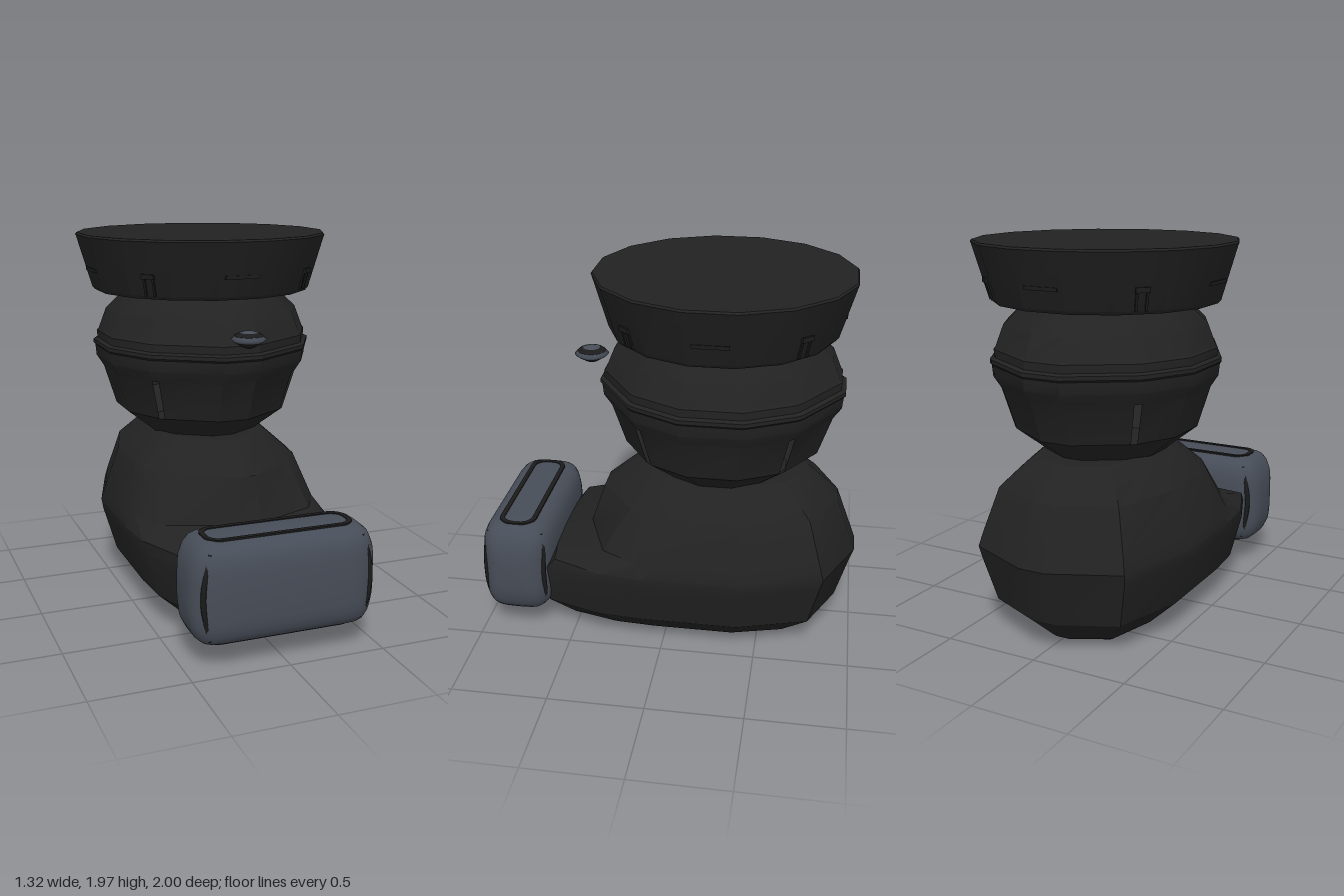
import * as THREE from 'three';
import { toCreasedNormals } from 'three/addons/utils/BufferGeometryUtils.js';

const CZ = -0.26; // z of the upright axis

// Skin closed rings of points, with optional end caps and skipped faces
function loft(rings, { caps = true, crease = 0.6, skip = () => false } = {}) {
  const pos = [];
  const n = rings[0].length;
  const tri = (a, b, c) => pos.push(...a, ...b, ...c);
  for (let r = 0; r < rings.length - 1; r++) {
    for (let i = 0; i < n; i++) {
      if (skip(r, i)) continue;
      const j = (i + 1) % n;
      const a = rings[r], b = rings[r + 1];
      tri(a[i], a[j], b[j]);
      tri(a[i], b[j], b[i]);
    }
  }
  if (caps) {
    const mid = (ring) => [0, 1, 2].map((k) => ring.reduce((s, p) => s + p[k], 0) / n);
    const lo = rings[0], hi = rings[rings.length - 1];
    for (let i = 0; i < n; i++) {
      const j = (i + 1) % n;
      tri(mid(lo), lo[j], lo[i]);
      tri(mid(hi), hi[i], hi[j]);
    }
  }
  const g = new THREE.BufferGeometry();
  g.setAttribute('position', new THREE.Float32BufferAttribute(pos, 3));
  return toCreasedNormals(g, crease);
}

// Mirror the +x half of a ring (listed front to back) onto -x
const mirrorRing = (half) => [...half, ...half.slice().reverse().map(([x, y, z]) => [-x, y, z])];

export function createModel() {
  const model = new THREE.Group();
  const mat = (name, color, side = THREE.FrontSide) => {
    const m = new THREE.MeshStandardMaterial({ color, side });
    m.name = name;
    return m;
  };
  const black = mat('black', 0x222222, THREE.DoubleSide);
  const trim = mat('trimBlack', 0x1b1b1b);
  const slate = mat('slateGrey', 0x474d58);
  const add = (name, geo, material, parent = model) => {
    const m = new THREE.Mesh(geo, material);
    m.name = name;
    parent.add(m);
    return m;
  };

  // Lower body: [y, half width, back z, front z, front corner fraction]
  const body = [
    [0, 0.29, -0.72, 0.57, 0.93],
    [0.01, 0.31, -0.735, 0.59, 0.93],
    [0.16, 0.47, -0.91, 0.7, 0.94],
    [0.4, 0.54, -0.98, 0.68, 0.95],
    [0.46, 0.55, -1.0, 0.63, 0.95],
    [0.53, 0.53, -0.975, 0.45, 0.82],
    [0.76, 0.45, -0.89, 0.37, 0.7],
    [0.9, 0.3, -0.73, 0.21, 0.68],
    [0.912, 0.28, -0.71, 0.19, 0.68],
  ].map(([y, w, zb, zf, f]) => {
    const front = (k) => CZ + (zf - CZ) * k;
    const back = (k) => CZ + (zb - CZ) * k;
    return mirrorRing([
      [0.15 * w, y, zf], [0.76 * w, y, front(f)], [0.96 * w, y, front(f * 0.68)],
      [w, y, front(f * 0.42)], [w, y, back(0.22)], [0.76 * w, y, back(0.79)], [0.13 * w, y, zb],
    ]);
  });
  add('lowerBody', loft(body, { crease: 0.5 }), black);

  // Bowl: hollow faceted shell, with a slit at each diagonal corner
  const bowlHalf = [
    [0.1, 0.635], [0.41, 0.438], [0.438, 0.41], [0.57, 0.16],
    [0.57, -0.16], [0.438, -0.41], [0.41, -0.438], [0.1, -0.635],
  ];
  const bowl = [
    [0.9, 0.52], [0.92, 0.56], [1.03, 0.8], [1.24, 0.91], [1.3, 0.975], [1.36, 0.985], [1.37, 1.0],
    [1.39, 1.0], [1.4, 0.965], [1.44, 0.965], [1.45, 0.95], [1.56, 0.88], [1.68, 0.67],
  ].map(([y, s]) => mirrorRing(bowlHalf.map(([x, z]) => [x * s, y, CZ + z * s])));
  add('bowl', loft(bowl, { caps: false, crease: 0.5, skip: (r, i) => r === 2 && i % 4 === 1 }), black);

  // Flared top: sixteen sides with flats facing the axes
  const top = [[1.668, 0.565], [1.685, 0.58], [1.955, 0.658], [1.962, 0.662], [1.972, 0.655]]
    .map(([y, apothem]) => {
      const R = apothem / Math.cos(Math.PI / 16);
      return Array.from({ length: 16 }, (_, i) => {
        const a = ((i + 0.5) * Math.PI) / 8;
        return [R * Math.cos(a), y, CZ - R * Math.sin(a)];
      });
    });
  add('flaredTop', loft(top, { crease: 0.45 }), black);

  // Ribs on the four sides of the top, clips at its four diagonals
  for (let i = 0; i < 4; i++) {
    const side = new THREE.Group();
    side.name = 'topFittings';
    side.position.z = CZ;
    side.rotation.y = (i * Math.PI) / 2;
    model.add(side);
    add('rib', new THREE.BoxGeometry(0.18, 0.018, 0.02), trim, side).position.set(0, 1.785, 0.607);
    const clip = new THREE.Group();
    clip.name = 'clip';
    clip.rotation.y = Math.PI / 4;
    side.add(clip);
    for (const s of [-1, 1]) {
      const leg = add('clipLeg', new THREE.BoxGeometry(0.012, 0.09, 0.015), trim, clip);
      leg.position.set(s * 0.025, 1.73, 0.594);
      leg.rotation.x = 0.26;
    }
    add('clipHead', new THREE.BoxGeometry(0.07, 0.025, 0.03), trim, clip).position.set(0, 1.785, 0.608);
  }

  // Front drum: soft rounded block, lofted along x
  const drum = new THREE.Group();
  drum.name = 'frontDrum';
  drum.position.set(0, 0.38, 0.805);
  model.add(drum);
  const soft = (v) => Math.sign(v) * Math.sqrt(Math.abs(v));
  const ends = [[0.3, 0.26, 0.195], [0.37, 0.26, 0.186], [0.41, 0.25, 0.172], [0.44, 0.225, 0.152],
    [0.465, 0.18, 0.125], [0.48, 0.11, 0.085]];
  const drumRings = [...ends.slice().reverse().map(([x, h, d]) => [-x, h, d]), ...ends]
    .map(([x, h, d]) => Array.from({ length: 32 }, (_, i) => {
      const a = (i * Math.PI) / 16;
      return [x, h * soft(Math.cos(a)), d * soft(Math.sin(a))];
    }));
  add('drumShell', loft(drumRings, { crease: 0.9 }), slate, drum);

  // Dark bands along the drum's upright corners
  for (const sx of [-1, 1]) for (const sz of [-1, 1]) {
    const path = new THREE.CatmullRomCurve3([
      [0.39, 0.215, 0.137], [0.415, 0.13, 0.155], [0.432, 0, 0.158], [0.415, -0.13, 0.155], [0.39, -0.215, 0.137],
    ].map(([x, y, z]) => new THREE.Vector3(sx * x, y, sz * z)));
    add('cornerBand', new THREE.TubeGeometry(path, 16, 0.014, 6), trim, drum);
  }

  // Dark rounded outline on the drum's top and underside
  const roundRect = (Path, w, d, r) => {
    const p = new Path();
    p.absarc(w - r, d - r, r, 0, Math.PI / 2);
    p.absarc(r - w, d - r, r, Math.PI / 2, Math.PI);
    p.absarc(r - w, r - d, r, Math.PI, Math.PI * 1.5);
    p.absarc(w - r, r - d, r, Math.PI * 1.5, Math.PI * 2);
    p.closePath();
    return p;
  };
  const outline = roundRect(THREE.Shape, 0.385, 0.1, 0.075);
  outline.holes.push(roundRect(THREE.Path, 0.36, 0.075, 0.055));
  const outlineGeo = new THREE.ExtrudeGeometry(outline, { depth: 0.009, bevelEnabled: false, curveSegments: 6 });
  for (const s of [-1, 1]) {
    const m = add('drumOutline', outlineGeo, trim, drum);
    m.rotation.x = (-s * Math.PI) / 2;
    m.position.y = s * 0.254;
  }

  // Small floating knob in front of the bowl
  const knob = new THREE.Group();
  knob.name = 'knob';
  knob.position.set(0, 1.485, 0.44);
  model.add(knob);
  const lathe = (pts) => new THREE.LatheGeometry(pts.map(([x, y]) => new THREE.Vector2(x, y)), 20);
  add('knobBase', lathe([[0, -0.045], [0.03, -0.035], [0.075, -0.008]]), trim, knob);
  add('knobRim', lathe([[0.075, -0.008], [0.09, 0.005], [0.075, 0.022]]), slate, knob);
  add('knobBand', lathe([[0.075, 0.022], [0.062, 0.032], [0.045, 0.038]]), trim, knob);
  add('knobCap', lathe([[0.045, 0.038], [0.025, 0.045], [0, 0.046]]), slate, knob);

  return model;
}
